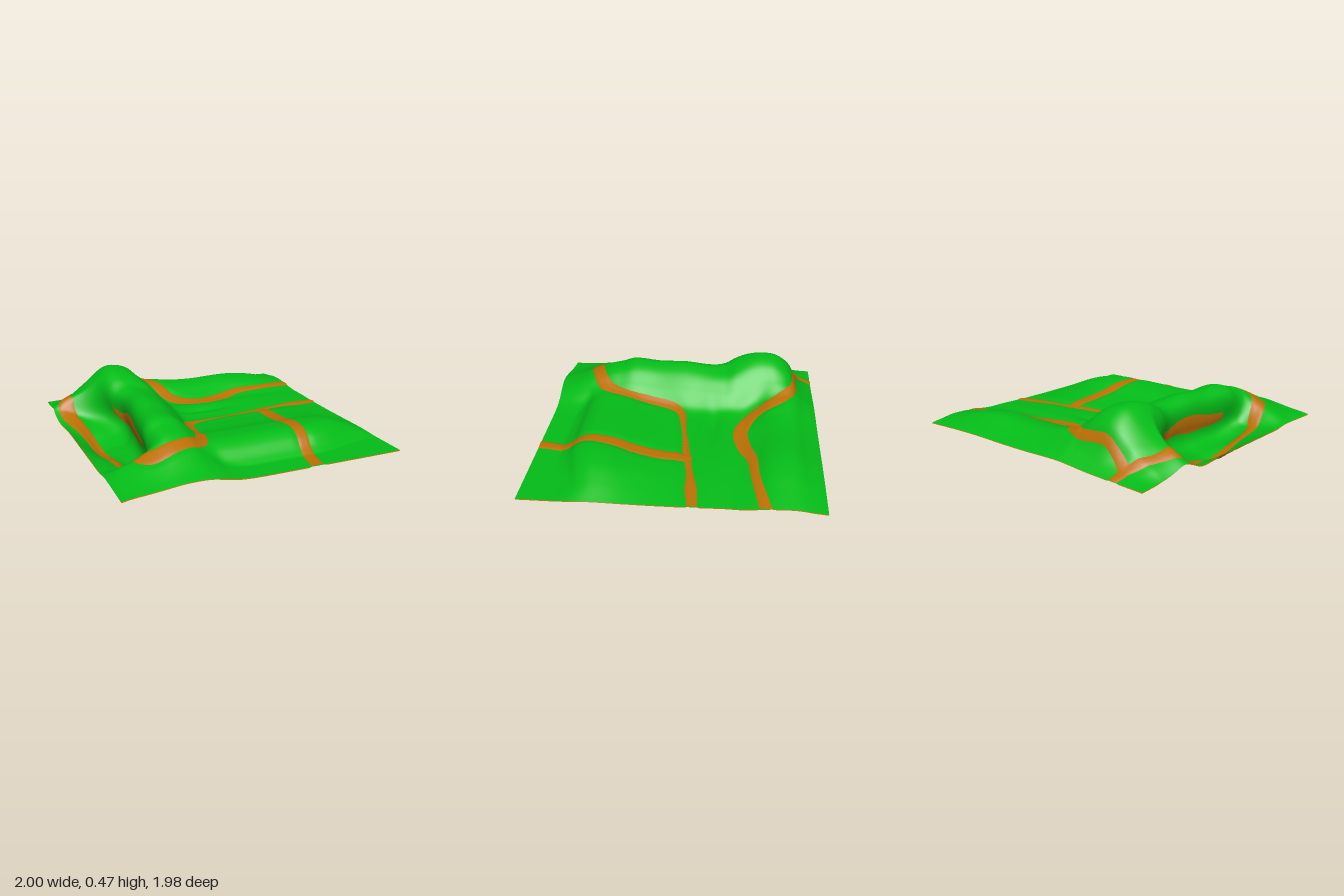
import * as THREE from 'three';

// Smooth interpolation through [position, value] pairs
function profile(pairs) {
  const n = pairs.length;
  const slope = i => {
    const a = pairs[Math.max(0, i - 1)], b = pairs[Math.min(n - 1, i + 1)];
    return (b[1] - a[1]) / (b[0] - a[0]);
  };
  return x => {
    if (x <= pairs[0][0]) return pairs[0][1];
    if (x >= pairs[n - 1][0]) return pairs[n - 1][1];
    let i = 0;
    while (x > pairs[i + 1][0]) i++;
    const [x0, y0] = pairs[i], [x1, y1] = pairs[i + 1], w = x1 - x0, t = (x - x0) / w;
    return y0 * (1 + 2 * t) * (1 - t) ** 2 + slope(i) * w * t * (1 - t) ** 2
      + y1 * t * t * (3 - 2 * t) + slope(i + 1) * w * t * t * (t - 1);
  };
}
const step = THREE.MathUtils.smoothstep;
const mix = THREE.MathUtils.lerp;
const bump = (d, s) => Math.exp(-d * d / (s * s));

// Long ridge with a rounded hill at its back end: crest height, cross-section and sideways lean
const crest = profile([[-0.99, 0.01], [-0.9, 0.08], [-0.85, 0.15], [-0.8, 0.25], [-0.7, 0.33], [-0.6, 0.35],
  [-0.5, 0.34], [-0.4, 0.305], [-0.3, 0.265], [0, 0.28], [0.2, 0.265], [0.4, 0.27], [0.5, 0.24],
  [0.6, 0.215], [0.7, 0.18], [0.8, 0.13], [0.9, 0.08], [0.97, 0.055]]);
const ridge = profile([[-0.97, 0.04], [-0.9, 0.25], [-0.8, 0.45], [-0.7, 0.7], [-0.6, 0.95], [-0.52, 1],
  [-0.4, 0.88], [-0.3, 0.56], [-0.2, 0.18], [-0.1, 0.04], [0, 0]]);
const lean = profile([[-0.75, 0], [-0.55, 0], [-0.32, 0.05], [-0.1, 0.03], [0.3, -0.01], [0.5, -0.02]]);

// Low rolling ground across the rest
const rolling = profile([[-0.99, 0.02], [-0.9, 0.06], [-0.82, 0.105], [-0.75, 0.115], [-0.65, 0.1], [-0.55, 0.06],
  [-0.45, 0.03], [-0.35, 0.035], [-0.2, 0.03], [-0.08, 0.025], [0, 0.04], [0.1, 0.048], [0.3, 0.08],
  [0.4, 0.108], [0.5, 0.123], [0.6, 0.123], [0.68, 0.09], [0.74, 0.035], [0.8, 0]]);
const backFade = profile([[-0.65, 0], [-0.32, 1.4], [-0.2, 1.4], [-0.1, 1.25], [0, 1.1], [0.2, 1], [0.5, 1.05],
  [0.7, 0.85], [0.85, 0.55], [0.99, 0.25]]);
const frontFade = profile([[-0.65, 0], [-0.3, 0.9], [0, 0.97], [0.5, 1], [0.7, 0.87], [0.85, 0.5], [0.99, 0.03]]);

// Trench beside the ridge, undercut below the lip
const lip = profile([[-0.75, -1.15], [-0.6, -0.92], [-0.55, -0.79], [-0.48, -0.69], [-0.35, -0.61], [-0.22, -0.56],
  [0, -0.57], [0.3, -0.605], [0.55, -0.64]]);
const depth = profile([[-0.5, 0], [-0.4, 0.025], [-0.3, 0.055], [-0.2, 0.09], [-0.08, 0.116], [0, 0.112],
  [0.1, 0.104], [0.3, 0.08], [0.4, 0.055], [0.5, 0.025], [0.6, 0]]);
const backBed = profile([[-0.965, 0], [-0.9, 0.4], [-0.8, 1], [-0.72, 0.85], [-0.62, 0.75]]);
const frontBed = profile([[-0.965, 0], [-0.9, 0.25], [-0.8, 0.65], [-0.72, 0.9], [-0.62, 1]]);

function ground(u, v) {
  const a = Math.max(0, crest(v) * ridge(u - lean(v) * step(u, -0.5, -0.3)));
  const front = step(v, -0.45, 0.1);
  const w = v + 0.09 * step(u, 0.45, 0.9) * step(v, 0.3, 0.6);
  const b = Math.max(0, rolling(w) * mix(backFade(u), frontFade(u), front));
  let y = 0.12 + Math.cbrt(a ** 3 + b ** 3);
  const cut = step(v, -0.72, -0.5) * (1 - step(v, 0.48, 0.66));
  const t = THREE.MathUtils.clamp((u - lip(v) + 0.11) / 0.2, 0, 1);
  const bed = mix(backBed(u), frontBed(u), step(v, 0, 0.3));
  y = mix(y, 0.12 - depth(v) * bed, cut * (1 - step(t, 0, 1)));
  y += 0.06 * bump(u + 0.95, 0.12) * bump(v + 0.6, 0.12);
  y -= 0.018 * bump(u - 0.05, 0.18) * bump(v + 0.24, 0.04);
  const undercut = 0.05 * step(v, -0.58, -0.35) * (1 - step(v, 0.4, 0.62));
  const x = u + undercut * Math.sin(2 * Math.PI * t)
    - 0.035 * bump(v + 0.56, 0.2) * step(-u, 0.88, 0.965)
    + 0.012 * bump(v + 0.8, 0.3) * step(u, 0.8, 0.985);
  const z = v + 0.02 * bump(u + 0.58, 0.2) * step(v, 0.8, 0.97);
  return [x, y, z];
}

// Roads as curves through [x, z, half width]
const roads = [
  [[-0.74, -0.99, 0.03], [-0.75, -0.9, 0.035], [-0.6, -0.84, 0.018], [-0.32, -0.82, 0.025], [-0.19, -0.72, 0.05],
    [-0.09, -0.53, 0.05], [0.1, -0.44, 0.052], [0.3, -0.46, 0.05], [0.48, -0.52, 0.035], [0.7, -0.545, 0.03], [1, -0.61, 0.04]],
  [[-0.75, -0.91, 0.03], [-0.87, -0.72, 0.03], [-0.895, -0.56, 0.045], [-0.865, -0.4, 0.055], [-0.81, -0.1, 0.042],
    [-0.79, 0.25, 0.033], [-0.77, 0.52, 0.04], [-0.68, 0.7, 0.055], [-0.5, 0.69, 0.045], [-0.32, 0.6, 0.045],
    [-0.25, 0.45, 0.035], [-0.22, 0.25, 0.035], [-0.15, 0.03, 0.035], [0.1, -0.03, 0.02], [0.4, -0.07, 0.027],
    [0.65, -0.11, 0.025], [0.82, -0.13, 0.04], [1, -0.15, 0.03]],
  [[0.47, -0.07, 0.045], [0.47, 0.1, 0.05], [0.43, 0.4, 0.05], [0.4, 0.65, 0.04], [0.34, 0.99, 0.045]],
  // bare earth under the overhang
  [-0.33, -0.15, 0, 0.15, 0.33].map(z => [lip(z) - 0.015, z, 0.025 - Math.abs(z) * 0.04]),
].flatMap(p => new THREE.CatmullRomCurve3(p.map(q => new THREE.Vector3(...q))).getPoints(140));

const roadMargin = (u, v) => {
  let m = -1;
  for (const p of roads) m = Math.max(m, p.z - Math.hypot(u - p.x, v - p.y));
  return m;
};

export function createModel() {
  const group = new THREE.Group();
  group.name = 'terrain';

  // Grass sheet
  const grass = new THREE.PlaneGeometry(1.95, 1.96, 170, 170).rotateX(-Math.PI / 2).translate(0.01, 0, -0.01);
  const pos = grass.attributes.position;
  const margins = [];
  for (let i = 0; i < pos.count; i++) {
    const u = pos.getX(i), v = pos.getZ(i), m = roadMargin(u, v);
    const [x, y, z] = ground(u, v);
    margins.push(m);
    pos.setXYZ(i, x, y - 0.01 * step(m, -0.05, 0.03) * step(y, 0.12, 0.2), z);
  }
  grass.computeVertexNormals();

  // Earth sheet just below the grass, rising through it along the roads
  const earth = grass.clone();
  const ep = earth.attributes.position, en = earth.attributes.normal;
  for (let i = 0; i < ep.count; i++) {
    const off = THREE.MathUtils.clamp(margins[i] * 0.35, -0.006, 0.006);
    ep.setXYZ(i, ep.getX(i) + en.getX(i) * off, ep.getY(i) + en.getY(i) * off, ep.getZ(i) + en.getZ(i) * off);
  }
  earth.computeVertexNormals();

  const add = (name, geometry, color) => {
    const mesh = new THREE.Mesh(geometry, new THREE.MeshStandardMaterial({ color, side: THREE.DoubleSide }));
    mesh.name = name;
    group.add(mesh);
  };
  add('grass', grass, 0x04bc18);
  add('earthAndRoads', earth, 0xbc7004);
  return group;
}
